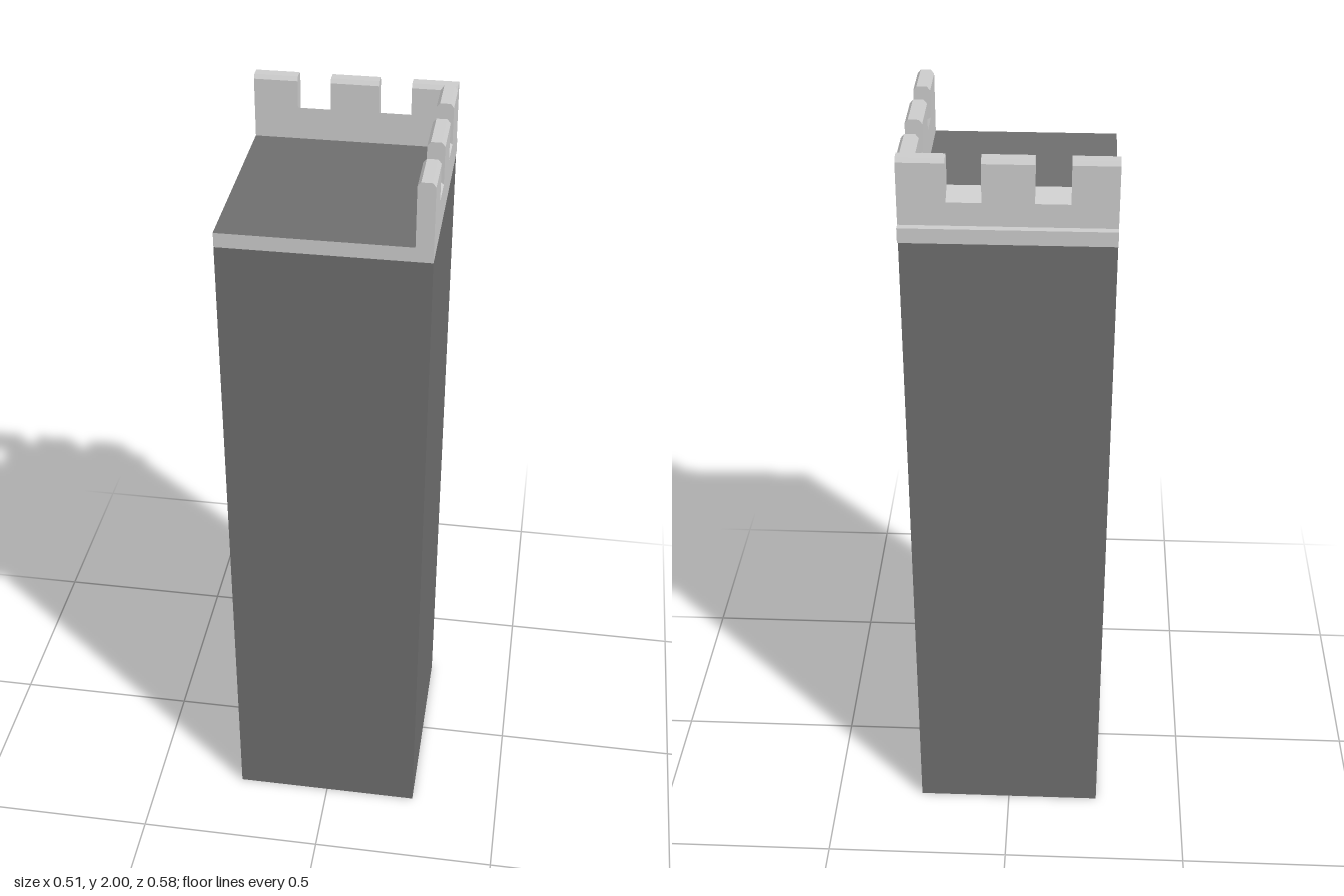
import * as THREE from 'three';
import { mergeGeometries } from 'three/addons/utils/BufferGeometryUtils.js';

const X0 = -0.255, X1 = 0.255, Z0 = -0.272, Z1 = 0.29;
const BAND = 1.8, ROOF = 1.837, TOP = 2, THICK = 0.042, BEVEL = 0.008;

const stone = new THREE.MeshStandardMaterial({ color: 0xcccccc, flatShading: true, side: THREE.DoubleSide });
const dark = new THREE.MeshStandardMaterial({ color: 0x6e6e6e, flatShading: true, side: THREE.DoubleSide });

function addMesh(parent, name, geometry, material) {
  const mesh = new THREE.Mesh(geometry, material);
  mesh.name = name;
  parent.add(mesh);
  return mesh;
}

// Four walls between two heights, open above and below
function wallRing(y0, y1) {
  const g = new THREE.CylinderGeometry(Math.SQRT1_2, Math.SQRT1_2, y1 - y0, 4, 1, true, Math.PI / 4);
  g.scale(X1 - X0, 1, Z1 - Z0);
  g.translate((X0 + X1) / 2, (y0 + y1) / 2, (Z0 + Z1) / 2);
  return g;
}

// Battlement along z with its outer face at x = outer; stops alternate merlon, gap, merlon...
function battlement(outer, stops) {
  const inner = outer - THICK;
  const merlon = [
    [inner, ROOF], [outer, ROOF], [outer, TOP - 0.01], [outer - BEVEL, TOP],
    [inner + BEVEL, TOP], [inner, TOP - 0.01],
  ];
  // gap sill slopes down towards the outside
  const sill = [[inner, ROOF], [outer, ROOF], [outer, 1.895], [inner, 1.92]];
  const pieces = [];
  for (let i = 0; i < stops.length - 1; i++) {
    const profile = (i % 2 ? sill : merlon).map(([x, y]) => new THREE.Vector2(x, y));
    const g = new THREE.ExtrudeGeometry(new THREE.Shape(profile), {
      depth: stops[i + 1] - stops[i], bevelEnabled: false,
    });
    g.translate(0, 0, stops[i]);
    pieces.push(g);
  }
  return mergeGeometries(pieces);
}

export function createModel() {
  const tower = new THREE.Group();
  tower.name = 'towerCorner';

  // Tall hollow shaft, open at the bottom
  addMesh(tower, 'shaft', wallRing(0, BAND), dark);
  addMesh(tower, 'topBand', wallRing(BAND, ROOF), stone);

  // Flat roof
  const roof = new THREE.PlaneGeometry(X1 - X0, Z1 - Z0);
  roof.rotateX(-Math.PI / 2);
  roof.translate((X0 + X1) / 2, ROOF, (Z0 + Z1) / 2);
  addMesh(tower, 'roof', roof, dark);

  // Ledge along the back
  const ledge = new THREE.BoxGeometry(X1 - X0, ROOF - BAND, 0.019);
  ledge.translate((X0 + X1) / 2, (BAND + ROOF) / 2, Z0 - 0.0095);
  addMesh(tower, 'backLedge', ledge, stone);

  // Battlements on the left side and the back
  addMesh(tower, 'sideBattlement', battlement(X1, [-0.25, -0.13, -0.043, 0.085, 0.172, Z1]), stone);
  const back = battlement(-Z0, [X0, -0.145, -0.062, 0.06, 0.142, X1]);
  back.rotateY(Math.PI / 2);
  addMesh(tower, 'backBattlement', back, stone);

  return tower;
}
